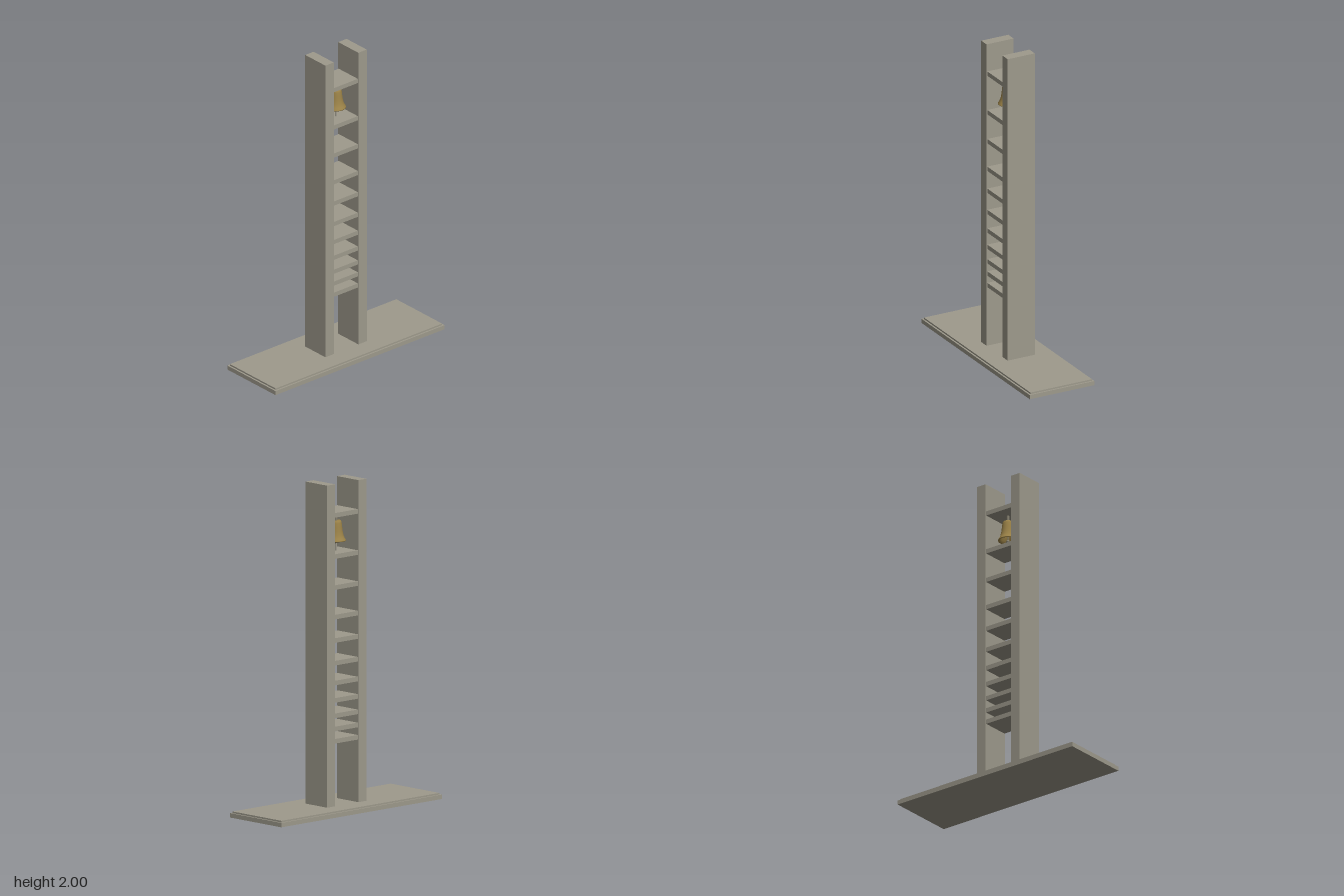
import * as THREE from 'three';

export function createModel() {
  const group = new THREE.Group();
  const stone = new THREE.MeshStandardMaterial({ name: 'stone', color: 0x9e9a8c });
  const bronze = new THREE.MeshStandardMaterial({ name: 'bronze', color: 0x9c8348, side: THREE.DoubleSide });
  const iron = new THREE.MeshStandardMaterial({ name: 'iron', color: 0x85806f });

  const add = (name, geometry, material, x, y, z = 0) => {
    const mesh = new THREE.Mesh(geometry, material);
    mesh.name = name;
    mesh.position.set(x, y, z);
    group.add(mesh);
    return mesh;
  };
  const box = (name, w, h, d, x, bottom) =>
    add(name, new THREE.BoxGeometry(w, h, d), stone, x, bottom + h / 2);

  // Stepped plinth
  box('plinthLower', 1.334, 0.027, 0.444, 0, 0);
  box('plinthUpper', 1.312, 0.01, 0.422, 0, 0.027);

  // Twin pillars
  for (const side of [-1, 1]) {
    box(side > 0 ? 'leftPillar' : 'rightPillar', 0.066, 1.963, 0.186, side * 0.13, 0.037);
  }

  // Cross slabs, spaced wider towards the top
  const slabTops = [0.446, 0.521, 0.601, 0.695, 0.801, 0.922, 1.06, 1.203, 1.383, 1.572, 1.823];
  slabTops.forEach((top, i) => box(`crossSlab${i + 1}`, 0.196, 0.028, 0.176, 0, top - 0.028));

  // Bell: outer skin, lip and hollow inside
  const profile = [
    [0, 0.125], [0.026, 0.125], [0.031, 0.121], [0.034, 0.11], [0.037, 0.085], [0.04, 0.06],
    [0.045, 0.035], [0.052, 0.017], [0.06, 0.004], [0.06, 0], [0.054, 0],
    [0.047, 0.017], [0.04, 0.035], [0.035, 0.06], [0.03, 0.105], [0, 0.115],
  ].reverse().map(([r, y]) => new THREE.Vector2(r, y));
  add('bell', new THREE.LatheGeometry(profile, 32), bronze, 0, 1.632);

  // Hanger and clapper
  add('bellHanger', new THREE.CylinderGeometry(0.009, 0.009, 0.042, 16), iron, 0, 1.776);
  add('clapperRod', new THREE.CylinderGeometry(0.004, 0.004, 0.12, 12), iron, 0, 1.69);
  add('clapperBall', new THREE.SphereGeometry(0.011, 16, 12), iron, 0, 1.625);
  add('clapperTail', new THREE.CylinderGeometry(0.007, 0.007, 0.05, 12), stone, 0, 1.596);

  return group;
}
